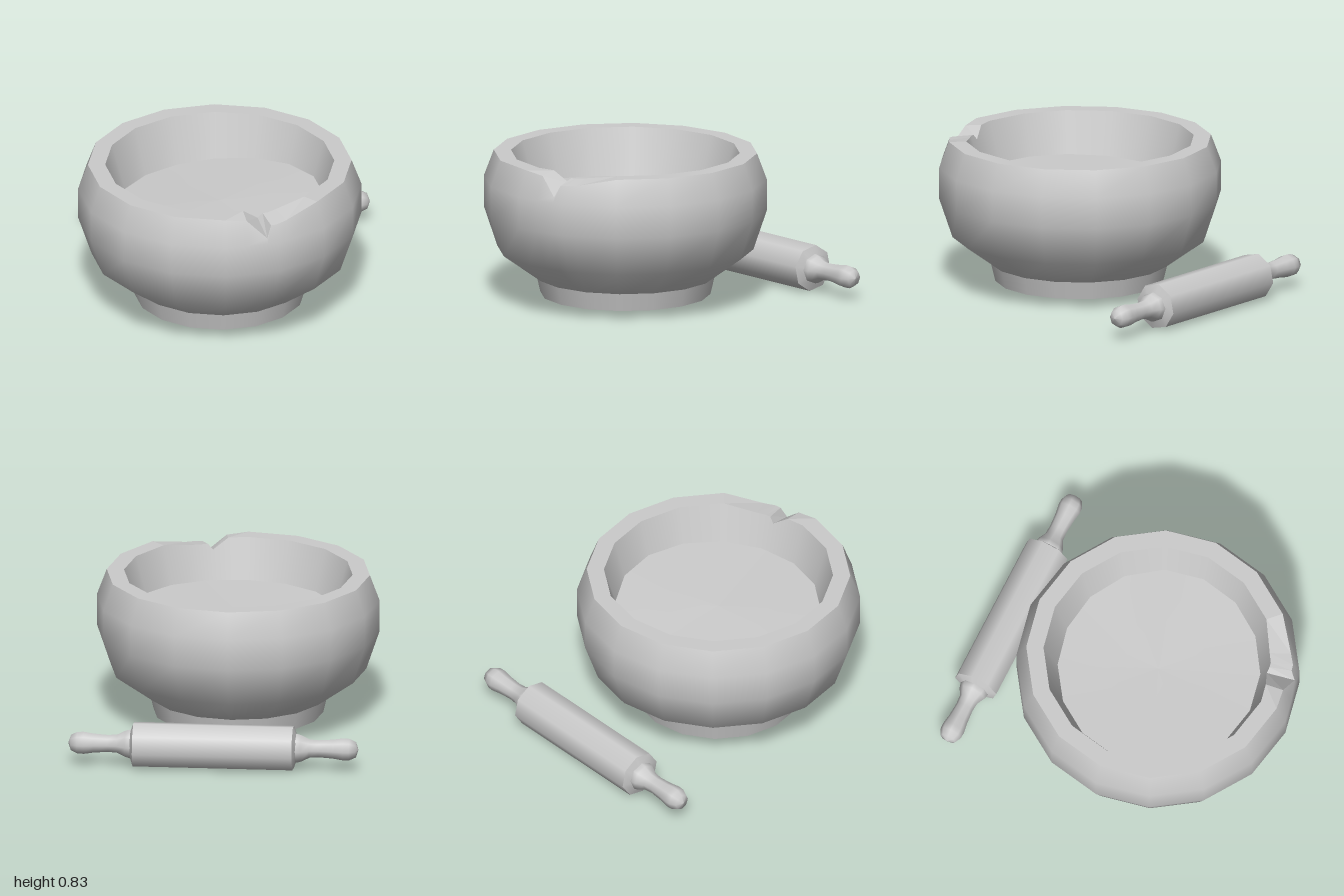
import * as THREE from 'three';

const SIDES = 16;
const STEP = (Math.PI * 2) / SIDES;
const grey = new THREE.MeshStandardMaterial({ color: 0xcccccc, side: THREE.DoubleSide });
const facetedGrey = new THREE.MeshStandardMaterial({ color: 0xcccccc, side: THREE.DoubleSide, flatShading: true });

// Chip in the rim: [angle in degrees from the front, outer depth, inner depth]
const chip = [
  [32, 0.015, 0], [40.2, 0.115, 0.06], [42.5, 0.05, 0.03], [45, 0.048, 0.03], [50, 0.043, 0.025],
];

// Columns round the bowl: the corners of a 16-gon plus the points of the chip
function makeColumns() {
  const columns = chip.map(([deg, outer, inner]) => ({ a: THREE.MathUtils.degToRad(deg), outer, inner }));
  for (let i = 0; i < SIDES; i++) {
    if (i !== 2) columns.push({ a: i * STEP, outer: 0, inner: 0 });
  }
  return columns.sort((p, q) => p.a - q.a);
}

// Skin of rings; each row is a function of the column giving [radius, height]
function ringSkin(name, columns, rows, { material = grey, round = true } = {}) {
  const positions = [];
  const index = [];
  const n = columns.length;
  for (const row of rows) {
    for (const c of columns) {
      const [r, y] = row(c);
      const chord = Math.cos(STEP / 2) / Math.cos((c.a % STEP) - STEP / 2);
      positions.push(r * chord * Math.sin(c.a), y, r * chord * Math.cos(c.a));
    }
  }
  for (let i = 0; i < rows.length - 1; i++) {
    for (let j = 0; j < n; j++) {
      const k = (j + 1) % n;
      const a = i * n + j, b = i * n + k;
      index.push(a, b, b + n, a, b + n, a + n);
    }
  }
  const geometry = new THREE.BufferGeometry();
  geometry.setAttribute('position', new THREE.Float32BufferAttribute(positions, 3));
  geometry.setIndex(index);
  geometry.computeVertexNormals();
  if (round) {
    // Turn the normal of the last, unchipped column round the axis for even shading
    const normal = geometry.attributes.normal;
    const last = columns[n - 1].a;
    for (let start = 0; start < normal.count; start += n) {
      const ref = start + n - 1;
      const out = normal.getX(ref) * Math.sin(last) + normal.getZ(ref) * Math.cos(last);
      const up = normal.getY(ref);
      columns.forEach(({ a }, j) => normal.setXYZ(start + j, out * Math.sin(a), up, out * Math.cos(a)));
    }
  }
  const mesh = new THREE.Mesh(geometry, material);
  mesh.name = name;
  return mesh;
}

const ring = (r, y) => () => [r, y];

function makeBowl() {
  const bowl = new THREE.Group();
  bowl.name = 'bowl';
  const columns = makeColumns();
  const outerRim = (c) => [0.725 + c.outer * 0.38, 0.835 - c.outer];
  const innerRim = (c) => [0.63 - c.inner * 0.3, 0.835 - c.inner];

  bowl.add(ringSkin('foot', columns, [ring(0.468, 0.04), ring(0.492, 0.14)]));
  bowl.add(ringSkin('footInside', columns, [ring(0.452, 0.17), ring(0.468, 0.04)]));
  bowl.add(ringSkin('outerWall', columns, [
    ring(0.492, 0.14), ring(0.705, 0.295), ring(0.779, 0.515), ring(0.779, 0.69), outerRim,
  ]));
  bowl.add(ringSkin('rim', columns, [outerRim, innerRim], { material: facetedGrey, round: false }));
  bowl.add(ringSkin('innerWall', columns, [innerRim, ring(0.506, 0.42)]));
  bowl.add(ringSkin('innerBase', columns, [ring(0.506, 0.42), ring(0, 0.42)]));

  // Slightly uneven filling that meets the sloping inner wall
  const level = (t) => (c) => {
    const y = 0.605 + t * (0.025 * Math.cos(c.a - 1.5) - 0.01 * Math.sin(2 * c.a));
    return [t * (0.63 - (0.835 - y) * 0.3), y];
  };
  bowl.add(ringSkin('filling', columns, [level(1), level(0.5), level(0)], { round: false }));
  bowl.position.set(0.127, 0, 0.217);
  return bowl;
}

function makeRollingPin() {
  const pin = new THREE.Group();
  pin.name = 'rollingPin';
  const half = 0.44;
  const bulge = 0.018;

  // Eight-sided roller turned a little about its length, with shallow conical ends
  const roller = new THREE.Group();
  roller.name = 'roller';
  const parts = [
    ['rollerBody', 0.128, 0.128, half * 2, 0],
    ['rollerLeftEnd', 0.075, 0.128, bulge, half + bulge / 2],
    ['rollerRightEnd', 0.128, 0.075, bulge, -half - bulge / 2],
  ];
  for (const [name, top, bottom, length, y] of parts) {
    const mesh = new THREE.Mesh(new THREE.CylinderGeometry(top, bottom, length, 8, 1, true), grey);
    mesh.name = name;
    mesh.position.y = y;
    roller.add(mesh);
  }
  roller.rotation.set(-0.18, 0, -Math.PI / 2);
  pin.add(roller);

  // Turned handles: [radius, distance beyond the roller's end]
  const profile = [
    [0.076, 0], [0.083, 0.02], [0.076, 0.045], [0.053, 0.09], [0.049, 0.14], [0.055, 0.22],
    [0.064, 0.275], [0.062, 0.31], [0.045, 0.345], [0, 0.36],
  ].map(([r, d]) => new THREE.Vector2(r, d));
  for (const side of [-1, 1]) {
    const handle = new THREE.Mesh(new THREE.LatheGeometry(profile, 8), grey);
    handle.name = side < 0 ? 'rightHandle' : 'leftHandle';
    handle.rotation.z = -side * Math.PI / 2;
    handle.position.x = side * half;
    pin.add(handle);
  }
  pin.position.set(-0.168, 0.128, -0.666);
  pin.rotation.y = 0.387;
  return pin;
}

export function createModel() {
  const model = new THREE.Group();
  model.name = 'bowlAndRollingPin';
  model.add(makeBowl(), makeRollingPin());
  return model;
}
